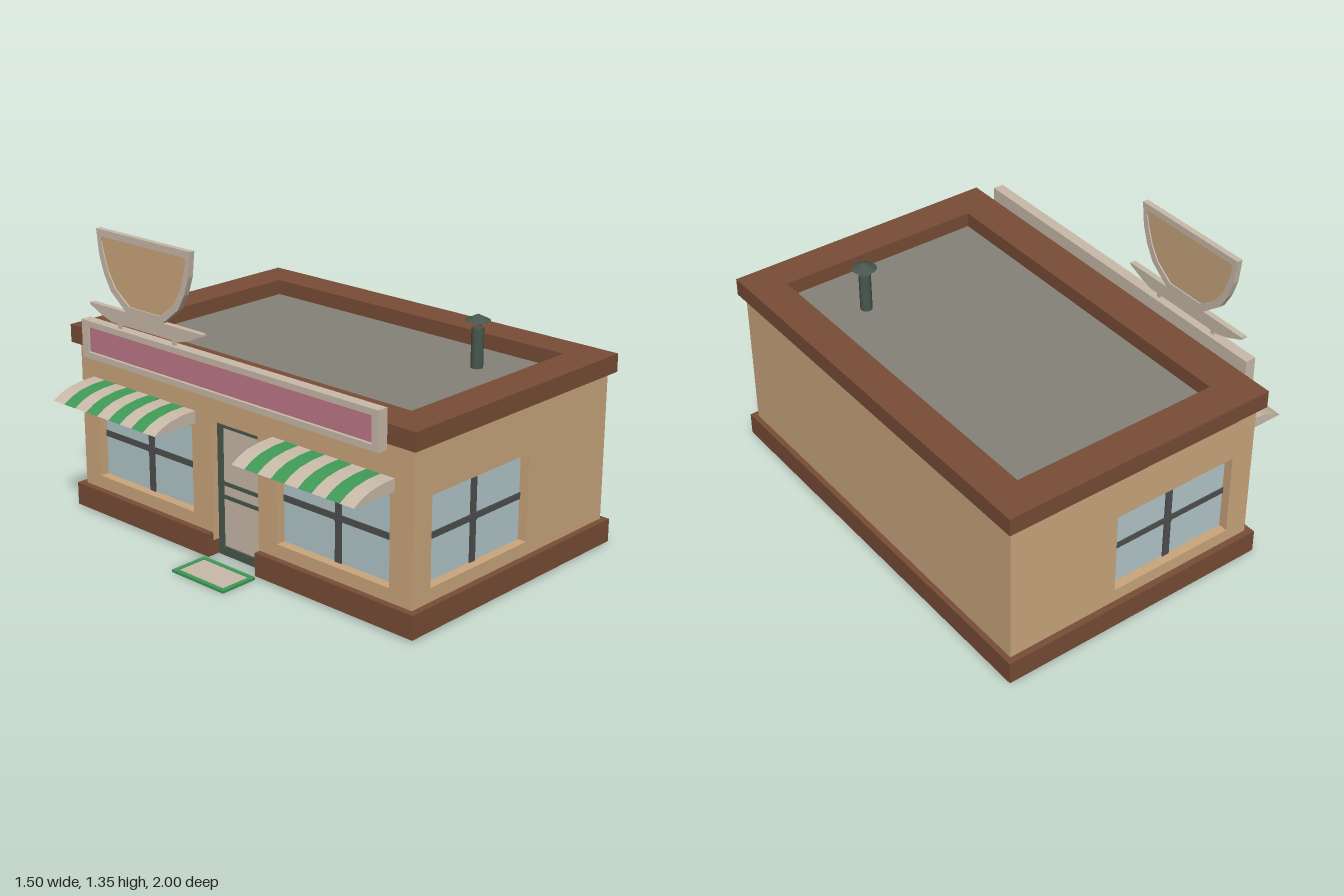
import * as THREE from 'three';

const mat = (name, color, extra = {}) => Object.assign(new THREE.MeshStandardMaterial({ color, ...extra }), { name });

export function createModel() {
  const tan = mat('wall tan', 0xcba77d);
  const brown = mat('trim brown', 0x784d36);
  const gray = mat('roof gray', 0x85827a);
  const cream = mat('cream', 0xc9bba9);
  const green = mat('awning green', 0x3f9a58);
  const glass = mat('window glass', 0xb4c8cb);
  const dark = mat('window bar gray', 0x4f4f50);
  const metal = mat('dark metal', 0x48574d);
  const mauve = mat('sign mauve', 0xc07888);

  const model = new THREE.Group();
  model.name = 'shop';

  const add = (name, geo, material, parent = model) => {
    const m = new THREE.Mesh(geo, material);
    m.name = name;
    parent.add(m);
    return m;
  };
  // Box given by its minimum and maximum corners
  const box = (name, material, x0, x1, y0, y1, z0, z1, parent = model) => {
    const m = add(name, new THREE.BoxGeometry(x1 - x0, y1 - y0, z1 - z0), material, parent);
    m.position.set((x0 + x1) / 2, (y0 + y1) / 2, (z0 + z1) / 2);
    return m;
  };
  const poly = pts => pts.map(p => new THREE.Vector2(p[0], p[1]));
  const rect = (a0, a1, b0, b1) => poly([[a0, b0], [a1, b0], [a1, b1], [a0, b1]]);
  const plate = (outline, holes, depth) => {
    const s = new THREE.Shape(outline);
    holes.forEach(h => s.holes.push(new THREE.Path(h)));
    return new THREE.ExtrudeGeometry(s, { depth, bevelEnabled: false });
  };
  // Plate drawn in (z, y), its thickness running from x1 down to x1 - depth
  const sidePlate = (outline, holes, depth, x1) =>
    plate(outline, holes, depth).rotateY(-Math.PI / 2).translate(x1, 0, 0);
  // Plate drawn in (x, z), its thickness running from y0 up to y0 + depth
  const flatPlate = (outline, holes, depth, y0) =>
    plate(outline, holes, depth).rotateX(Math.PI / 2).translate(0, y0 + depth, 0);

  // Walls with window and door openings
  const winY = [0.175, 0.565], winX = [-0.41, 0.2];
  const bays = [-0.5625, 0.5475], half = 0.305;
  const endHole = rect(...winX, ...winY);
  const endWall = rect(-0.52, 0.73, 0.08, 0.8);
  add('frontWall', plate(endWall, [endHole], 0.06).translate(0, 0, 0.91), tan);
  add('backWall', plate(endWall, [endHole], 0.06).translate(0, 0, -0.97), tan);
  box('plainSideWall', tan, 0.67, 0.73, 0.08, 0.8, -0.91, 0.91);
  const shopWall = poly([[-0.91, 0.08], [-0.135, 0.08], [-0.135, 0.62], [0.135, 0.62],
    [0.135, 0.08], [0.91, 0.08], [0.91, 0.8], [-0.91, 0.8]]);
  add('shopWall', sidePlate(shopWall, bays.map(c => rect(c - half, c + half, ...winY)), 0.06, -0.46), tan);

  // Base trim, open at the doorway
  const base = poly([[-0.55, -1], [0.755, -1], [0.755, 1], [-0.55, 1], [-0.55, 0.14], [-0.47, 0.14],
    [-0.47, 0.92], [0.675, 0.92], [0.675, -0.92], [-0.47, -0.92], [-0.47, -0.14], [-0.55, -0.14]]);
  add('baseTrim', flatPlate(base, [], 0.105, 0.01), brown);

  // Roof edge and sunken roof
  add('roofEdge', flatPlate(rect(-0.55, 0.755, -1, 1), [rect(-0.38, 0.595, -0.835, 0.835)], 0.081, 0.785), brown);
  box('roof', gray, -0.385, 0.6, 0.787, 0.797, -0.84, 0.84);

  // Windows: pane, crossing bars and a round boss, set back in the wall
  const makeWindow = (name, x, z, turn) => {
    const g = new THREE.Group();
    g.name = name;
    const h = winY[1] - winY[0];
    box('pane', glass, -half, half, -h / 2, h / 2, -0.005, 0.005, g);
    box('uprightBar', dark, -0.017, 0.017, -h / 2, h / 2, -0.011, 0.011, g);
    box('crossBar', dark, -half, half, -0.014, 0.014, -0.01, 0.01, g);
    add('boss', new THREE.CylinderGeometry(0.025, 0.025, 0.026, 12).rotateX(Math.PI / 2), dark, g);
    g.position.set(x, (winY[0] + winY[1]) / 2, z);
    g.rotation.y = turn;
    model.add(g);
  };
  makeWindow('frontWindow', -0.105, 0.922, 0);
  makeWindow('backWindow', -0.105, -0.922, 0);
  bays.forEach(c => makeWindow('shopWindow', -0.472, c, Math.PI / 2));

  // Door in its dark frame
  const door = new THREE.Group();
  door.name = 'door';
  model.add(door);
  add('doorFrame', sidePlate(rect(-0.135, 0.135, 0.01, 0.62), [rect(-0.108, 0.108, 0.05, 0.59)], 0.03, -0.46), metal, door);
  box('doorPanel', cream, -0.48, -0.47, 0.05, 0.59, -0.108, 0.108, door);
  [0.27, 0.33].forEach(y => box('doorBar', metal, -0.486, -0.464, y, y + 0.016, -0.108, 0.108, door));

  // Doormat with a border
  add('matBorder', flatPlate(rect(-0.745, -0.56, -0.155, 0.152), [rect(-0.725, -0.58, -0.135, 0.132)], 0.012, 0), green);
  box('mat', cream, -0.725, -0.58, 0.001, 0.009, -0.135, 0.132);

  // Striped awnings
  const awningProfile = poly([[-0.515, 0.585], [-0.515, 0.64], [-0.59, 0.638], [-0.66, 0.627],
    [-0.71, 0.609], [-0.75, 0.585]]);
  const stripes = 9, stripeWidth = 0.655 / stripes;
  bays.forEach(c => {
    const awning = new THREE.Group();
    awning.name = 'awning';
    model.add(awning);
    for (let i = 0; i < stripes; i++) {
      const geo = plate(awningProfile, [], stripeWidth).translate(0, 0, c + (i - stripes / 2) * stripeWidth);
      add('awningStripe', geo, i % 2 ? green : cream, awning);
    }
  });

  // Long sign board, blank panel set into a frame
  add('signFrame', sidePlate(rect(-0.86, 0.86, 0.76, 0.93), [rect(-0.825, 0.825, 0.787, 0.903)], 0.05, -0.55), cream);
  box('signBack', cream, -0.565, -0.551, 0.78, 0.91, -0.83, 0.83);
  box('signPanel', mauve, -0.585, -0.565, 0.787, 0.903, -0.825, 0.825);

  // Cup and saucer cut-out: half outlines mirrored about the middle
  const mid = -0.459;
  const mirrored = pts => poly([...pts.map(([w, y]) => [mid + w, y]),
    ...pts.slice().reverse().map(([w, y]) => [mid - w, y])]);
  const cupOuter = mirrored([[0.112, 1.012], [0.21, 1.09], [0.25, 1.16], [0.277, 1.24], [0.29, 1.35]]);
  const cupInner = mirrored([[0.095, 1.042], [0.18, 1.105], [0.222, 1.17], [0.25, 1.25], [0.262, 1.3], [0.255, 1.32]]);
  const saucer = mirrored([[0.21, 0.953], [0.27, 0.97], [0.35, 1.005], [0.35, 1.015]]);
  add('cupRim', sidePlate(cupOuter, [cupInner], 0.026, -0.564), cream);
  add('cupFace', sidePlate(cupInner, [], 0.014, -0.57), tan);
  add('saucer', sidePlate(saucer, [], 0.026, -0.564), cream);
  [-0.17, 0.17].forEach(w => box('saucerPost', cream, -0.583, -0.571, 0.925, 0.96, mid + w - 0.01, mid + w + 0.01));

  // Chimney pipe with a raised cone cap
  const chimney = new THREE.Group();
  chimney.name = 'chimney';
  chimney.position.set(0.368, 0, 0.555);
  model.add(chimney);
  add('pipe', new THREE.CylinderGeometry(0.027, 0.027, 0.185, 20), metal, chimney).position.y = 0.8825;
  add('capPost', new THREE.CylinderGeometry(0.004, 0.004, 0.06, 8), metal, chimney).position.set(0.017, 0.985, 0);
  add('cap', new THREE.ConeGeometry(0.055, 0.028, 20), metal, chimney).position.y = 1.019;

  return model;
}
